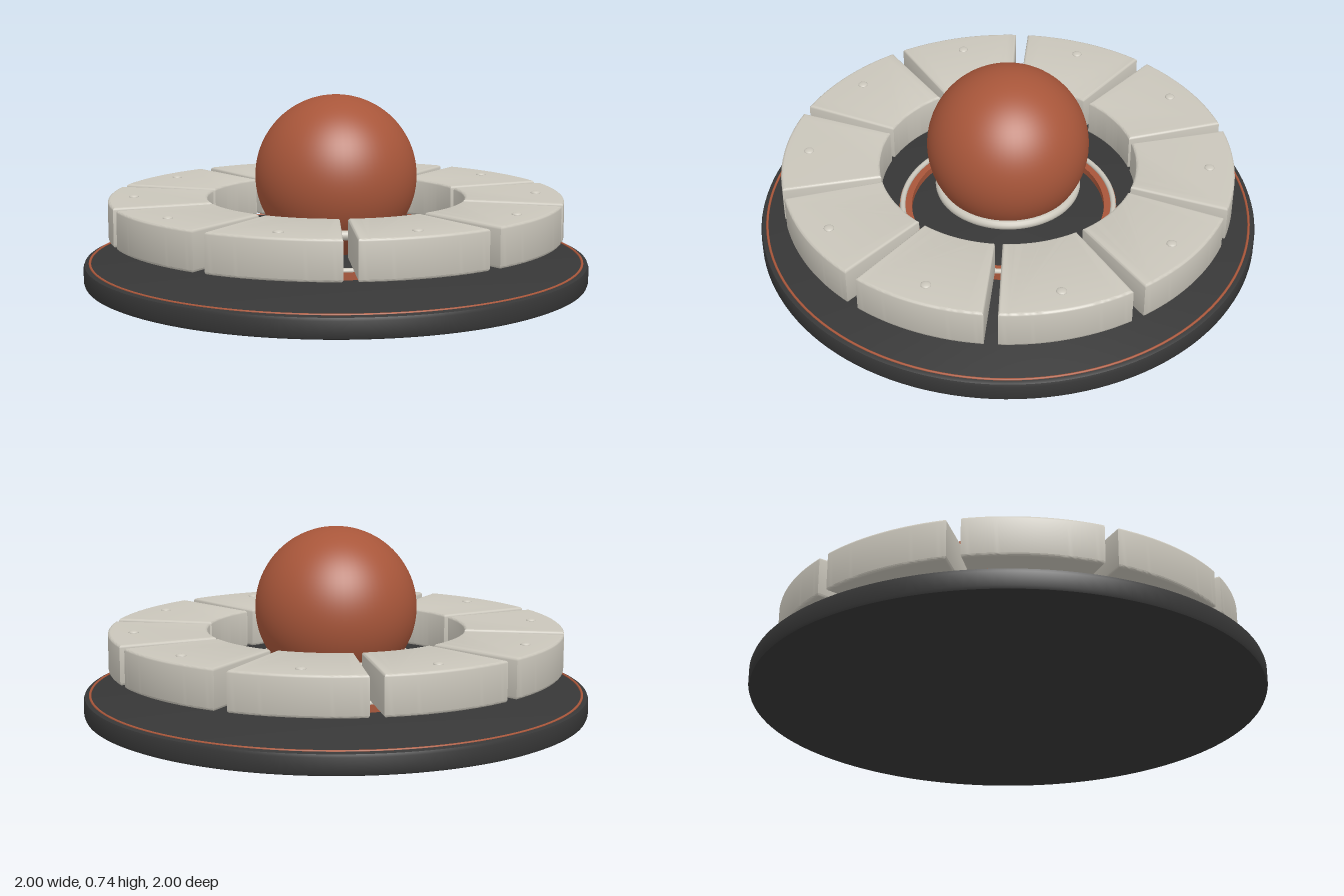
import * as THREE from 'three';
import { toCreasedNormals } from 'three/addons/utils/BufferGeometryUtils.js';

const material = (name, color) => Object.assign(new THREE.MeshStandardMaterial({ color }), { name });

export function createModel() {
  const dark = material('charcoal', 0x373737);
  const pale = material('warm grey', 0xcac6bb);
  const rust = material('rust', 0xa8563a);

  const model = new THREE.Group();
  const add = (name, geometry, mat, y = 0, parent = model) => {
    const mesh = new THREE.Mesh(geometry, mat);
    mesh.name = name;
    mesh.position.y = y;
    parent.add(mesh);
    return mesh;
  };
  // Turned part from [radius, height] points, listed bottom to top on the outside
  const turned = (points) => toCreasedNormals(
    new THREE.LatheGeometry(points.map(([r, y]) => new THREE.Vector2(r, y)), 128), 0.5);
  const ring = (radius, tube) => new THREE.TorusGeometry(radius, tube, 12, 128).rotateX(Math.PI / 2);

  // Base disc with softened rims and a thin inlaid line
  add('base', turned([[0, 0], [0.985, 0], [0.996, 0.005], [1, 0.016],
    [1, 0.069], [0.996, 0.08], [0.985, 0.085], [0, 0.085]]), dark);
  add('baseTrimLine', ring(0.975, 0.005), rust, 0.085);

  // Raised hub ring with a pale bead on top
  add('hubRing', turned([[0.39, 0.08], [0.44, 0.08], [0.44, 0.115], [0.39, 0.115], [0.39, 0.08]]), rust);
  add('hubBead', ring(0.427, 0.011), pale, 0.118);

  // Central ball held in a collar
  add('ball', new THREE.SphereGeometry(0.32, 64, 48), rust, 0.415);
  add('ballCollar', ring(0.272, 0.019), pale, 0.223);

  // Ten floating ring segments, each with a small stud
  const half = THREE.MathUtils.degToRad(16.35);
  const bevel = 0.01;
  const outline = new THREE.Shape();
  outline.absarc(0, 0, 0.9, -half, half, false);
  outline.absarc(0, 0, 0.51, half, -half, true);
  outline.closePath();
  const segmentGeometry = toCreasedNormals(new THREE.ExtrudeGeometry(outline, {
    depth: 0.155 - 2 * bevel, curveSegments: 20, bevelEnabled: true,
    bevelThickness: bevel, bevelSize: bevel, bevelOffset: -bevel, bevelSegments: 3,
  }).rotateX(-Math.PI / 2), 0.6);
  const studGeometry = new THREE.SphereGeometry(0.02, 20, 12).scale(1, 0.4, 1);

  for (let i = 0; i < 10; i++) {
    const segment = new THREE.Group();
    segment.name = `ringSegment${i + 1}`;
    segment.rotation.y = (i * Math.PI) / 5;
    add('segmentBlock', segmentGeometry, pale, 0.18 + bevel, segment);
    add('segmentStud', studGeometry, pale, 0.335, segment).position.x = 0.8;
    model.add(segment);
  }

  return model;
}
